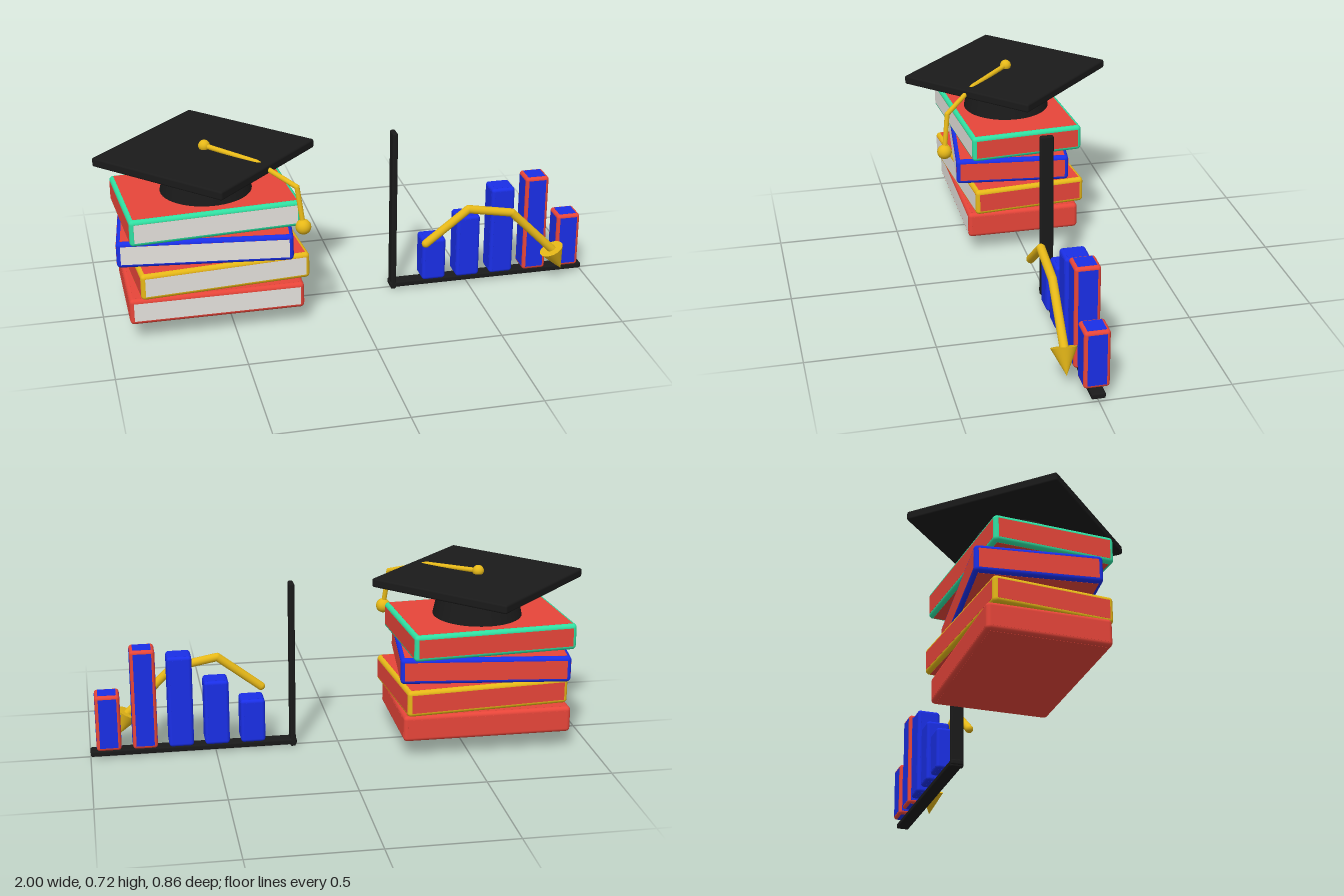
import * as THREE from 'three';
import { RoundedBoxGeometry } from 'three/addons/geometries/RoundedBoxGeometry.js';

const mat = (name, color) => {
  const m = new THREE.MeshStandardMaterial({ color });
  m.name = name;
  return m;
};

export function createModel() {
  const red = mat('red', 0xe9463a);
  const blue = mat('blue', 0x1a2fe8);
  const gold = mat('gold', 0xe6b818);
  const teal = mat('teal', 0x30e0a2);
  const page = mat('page grey', 0xe6e3de);
  const black = mat('black', 0x1a1a1a);

  const model = new THREE.Group();
  model.name = 'booksAndChart';

  const add = (parent, name, geometry, material, x = 0, y = 0, z = 0) => {
    const mesh = new THREE.Mesh(geometry, material);
    mesh.name = name;
    mesh.position.set(x, y, z);
    parent.add(mesh);
    return mesh;
  };

  const group = (parent, name, x = 0, y = 0, z = 0) => {
    const g = new THREE.Group();
    g.name = name;
    g.position.set(x, y, z);
    parent.add(g);
    return g;
  };

  // Rounded box in the trim colour, with thin panels standing just proud of each face
  const panelledBox = (parent, name, [w, h, d], r, trim, face, front, pos) => {
    const g = group(parent, name, ...pos);
    const e = 0.001, i = 2 * r;
    add(g, 'trim', new RoundedBoxGeometry(w, h, d, 3, r), trim);
    add(g, 'sidePanels', new THREE.BoxGeometry(w + e, h - i, d - i), face);
    add(g, 'topBottomPanels', new THREE.BoxGeometry(w - i, h + e, d - i), face);
    add(g, 'frontBackPanels', new THREE.BoxGeometry(w - i, h - i, d + e),
      [face, face, face, face, front, face]);
    return g;
  };

  // Round rod along a list of points, with ball joints at each point
  const rod = (parent, name, points, radius, material) => {
    const g = group(parent, name);
    const pts = points.map((p) => new THREE.Vector3(...p));
    pts.forEach((p, i) => {
      add(g, 'joint', new THREE.SphereGeometry(radius, 16, 12), material, p.x, p.y, p.z);
      if (i === 0) return;
      const dir = p.clone().sub(pts[i - 1]);
      const mid = p.clone().add(pts[i - 1]).multiplyScalar(0.5);
      const seg = add(g, 'segment',
        new THREE.CylinderGeometry(radius, radius, dir.length(), 16, 1, true),
        material, mid.x, mid.y, mid.z);
      seg.quaternion.setFromUnitVectors(new THREE.Vector3(0, 1, 0), dir.normalize());
    });
  };

  // Stack of books, each turned a little
  const books = group(model, 'bookStack');
  [
    [red, 0.683, -0.569, 0.126, 0],
    [gold, 0.668, -0.551, 0.24, 0.083],
    [blue, 0.676, -0.583, 0.354, -0.12],
    [teal, 0.668, -0.579, 0.467, 0.07],
  ].forEach(([trim, width, x, y, turn], i) => {
    const book = panelledBox(books, 'book' + (i + 1), [width, 0.107, 0.467], 0.016,
      trim, red, page, [x, y, 0]);
    book.rotation.y = turn;
  });

  // Graduation cap
  const cap = group(model, 'graduationCap');
  const cx = -0.57;
  add(cap, 'capBase', new THREE.CylinderGeometry(0.153, 0.18, 0.122, 48), black, cx, 0.581, 0);
  const board = add(cap, 'capBoard', new RoundedBoxGeometry(0.613, 0.036, 0.613, 3, 0.008),
    black, cx, 0.669, 0);
  board.rotation.y = Math.PI / 4;
  add(cap, 'capButton', new THREE.SphereGeometry(0.023, 24, 16), gold, cx, 0.698, 0);
  rod(cap, 'tasselCord',
    [[cx, 0.698, 0], [-0.397, 0.684, 0.174], [-0.267, 0.624, 0.307], [-0.248, 0.468, 0.325]],
    0.01, gold);
  add(cap, 'tasselBall', new THREE.SphereGeometry(0.03, 24, 16), gold, -0.248, 0.467, 0.325);

  // Chart axes
  const chart = group(model, 'chart');
  add(chart, 'verticalAxis', new RoundedBoxGeometry(0.022, 0.688, 0.054, 3, 0.007),
    black, 0.187, 0.344, 0);
  add(chart, 'horizontalAxis', new RoundedBoxGeometry(0.828, 0.024, 0.054, 3, 0.007),
    black, 0.586, 0.02, 0);

  // Chart bars; the last two have red edges
  [0.219, 0.306, 0.416, 0.451, 0.27].forEach((top, i) => {
    const h = top - 0.038;
    panelledBox(chart, 'bar' + (i + 1), [0.098, h, 0.098], 0.013,
      i < 3 ? blue : red, blue, blue, [0.351 + i * 0.1438, 0.038 + h / 2, 0]);
  });

  // Falling trend arrow in front of the bars
  const az = 0.09;
  rod(chart, 'trendLine',
    [[0.302, 0.226, az], [0.477, 0.361, az], [0.662, 0.327, az], [0.843, 0.143, az]],
    0.017, gold);
  const head = add(chart, 'arrowHead', new THREE.ConeGeometry(0.05, 0.104, 32), gold,
    0.864, 0.097, az);
  head.quaternion.setFromUnitVectors(new THREE.Vector3(0, 1, 0),
    new THREE.Vector3(0.044, -0.09, 0).normalize());

  return model;
}
